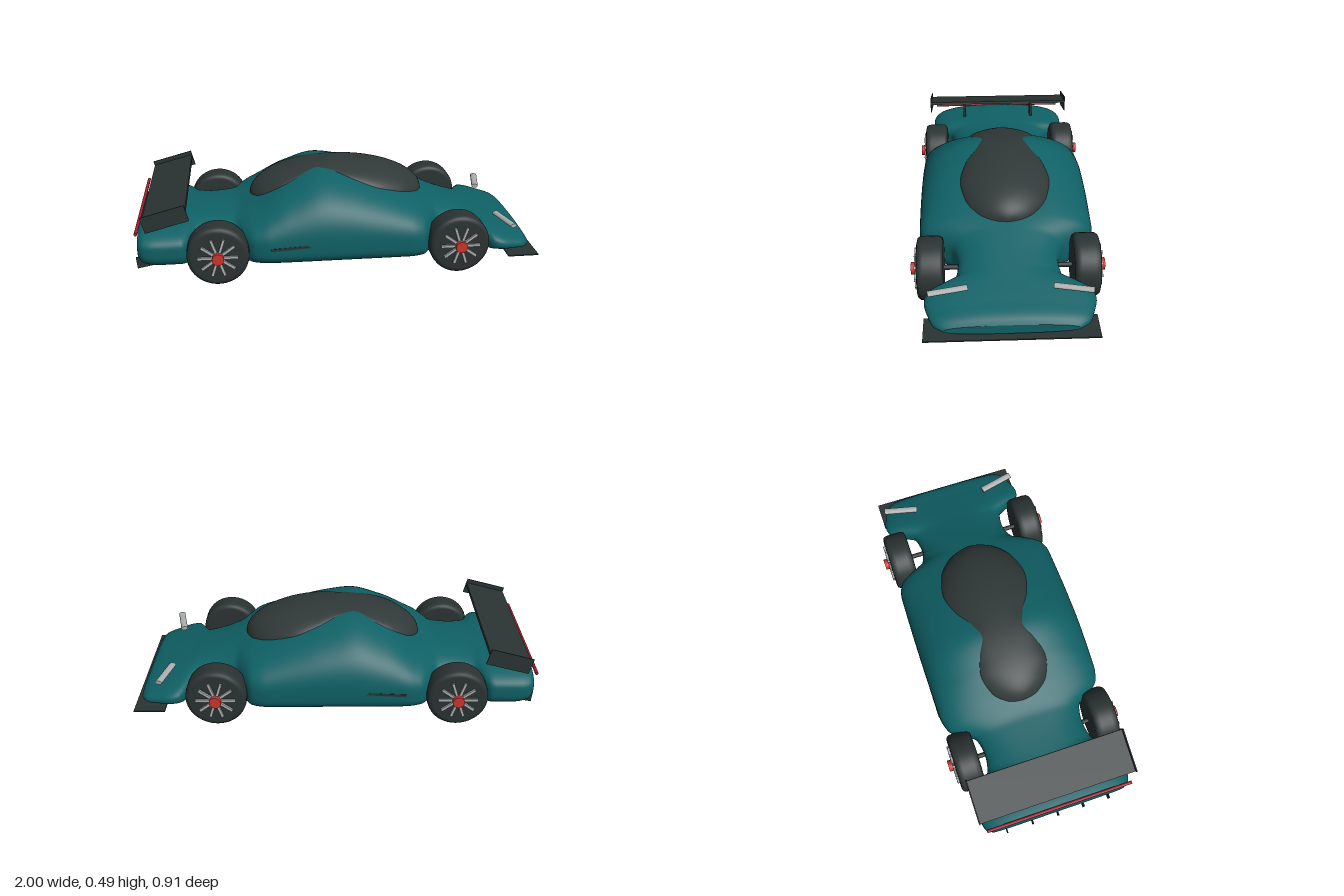
import * as THREE from 'three';

const mat = (name, color, side = THREE.FrontSide) => {
  const m = new THREE.MeshStandardMaterial({ color, side });
  m.name = name;
  return m;
};

// Smooth interpolation through [x, value] pairs without overshoot
function curve(pts) {
  const slope = i => (pts[i + 1][1] - pts[i][1]) / (pts[i + 1][0] - pts[i][0]);
  const tan = pts.map((p, i) => {
    if (i === 0) return slope(0);
    if (i === pts.length - 1) return slope(i - 1);
    const a = slope(i - 1), b = slope(i);
    return a * b <= 0 ? 0 : 2 * a * b / (a + b);
  });
  return x => {
    let i = 0;
    while (i < pts.length - 2 && x > pts[i + 1][0]) i++;
    const d = pts[i + 1][0] - pts[i][0];
    const t = Math.min(1, Math.max(0, (x - pts[i][0]) / d)), t2 = t * t, t3 = t2 * t;
    return (2 * t3 - 3 * t2 + 1) * pts[i][1] + (t3 - 2 * t2 + t) * d * tan[i]
      + (3 * t2 - 2 * t3) * pts[i + 1][1] + (t3 - t2) * d * tan[i + 1];
  };
}

// Body profiles along its length
const top = curve([[-0.98, 0.25], [-0.965, 0.27], [-0.9, 0.276], [-0.7, 0.275], [-0.52, 0.285], [-0.42, 0.322],
  [-0.25, 0.422], [-0.08, 0.476], [0.05, 0.455], [0.2, 0.41], [0.45, 0.32], [0.6, 0.262], [0.74, 0.212],
  [0.87, 0.17], [0.95, 0.142], [0.97, 0.115]]);
const bottom = curve([[-0.98, 0.1], [-0.96, 0.078], [-0.88, 0.062], [0, 0.058], [0.9, 0.06], [0.97, 0.07]]);
const width = curve([[-0.98, 0.345], [-0.96, 0.375], [-0.9, 0.388], [-0.77, 0.385], [-0.735, 0.35], [-0.7, 0.28],
  [-0.6, 0.262], [-0.51, 0.28], [-0.47, 0.35], [-0.42, 0.405], [-0.34, 0.424], [0, 0.428], [0.34, 0.424],
  [0.41, 0.405], [0.455, 0.34], [0.5, 0.262], [0.6, 0.235], [0.69, 0.25], [0.73, 0.32], [0.77, 0.38],
  [0.81, 0.388], [0.88, 0.37], [0.94, 0.345], [0.97, 0.3]]);
const waist = curve([[-0.98, 0.18], [-0.4, 0.18], [0, 0.19], [0.4, 0.18], [0.75, 0.13], [0.97, 0.09]]);
const lowPower = curve([[-0.98, 4], [0.5, 4.5], [0.8, 2.8], [0.97, 2.5]]);
const POWER = 2.4;
const bodyY = (x, z) => waist(x) + (top(x) - waist(x))
  * Math.pow(Math.max(0, 1 - Math.pow(Math.abs(z) / width(x), POWER)), 1 / POWER);

function geometry(pos, index) {
  const g = new THREE.BufferGeometry();
  g.setAttribute('position', new THREE.Float32BufferAttribute(pos, 3));
  g.setIndex(index);
  g.computeVertexNormals();
  return g;
}

// Rounded cross-sections lofted from tail to nose, closed at both ends
function bodyGeometry() {
  const N = 130, M = 72, pos = [], idx = [];
  const ring = x => {
    for (let j = 0; j < M; j++) {
      const a = j / M * Math.PI * 2, c = Math.cos(a), s = Math.sin(a);
      const p = 2 / (s >= 0 ? POWER : lowPower(x));
      const h = s >= 0 ? top(x) - waist(x) : waist(x) - bottom(x);
      pos.push(x, waist(x) + h * Math.sign(s) * Math.abs(s) ** p, width(x) * Math.sign(c) * Math.abs(c) ** p);
    }
  };
  for (let i = 0; i <= N; i++) ring(-0.98 + 1.95 * i / N);
  for (let i = 0; i < N; i++) for (let j = 0; j < M; j++) {
    const k = (j + 1) % M, a = i * M + j, b = i * M + k;
    idx.push(a, a + M, b, b, a + M, b + M);
  }
  for (const [x, front] of [[-0.98, false], [0.97, true]]) {
    const s = pos.length / 3;
    ring(x);
    pos.push(x, waist(x), 0);
    for (let j = 0; j < M; j++) {
      const a = s + j, b = s + (j + 1) % M;
      idx.push(s + M, front ? b : a, front ? a : b);
    }
  }
  return geometry(pos, idx);
}

// Domed canopy with a waisted outline resting on the body
function canopyGeometry() {
  const half = curve([[-0.43, 0], [-0.425, 0.045], [-0.41, 0.084], [-0.36, 0.142], [-0.27, 0.171], [-0.18, 0.147],
    [-0.1, 0.113], [-0.02, 0.135], [0.08, 0.192], [0.2, 0.221], [0.32, 0.196], [0.41, 0.133], [0.445, 0.075],
    [0.456, 0.035], [0.46, 0]]);
  const N = 72, M = 32, pos = [], idx = [];
  for (let i = 0; i <= N; i++) {
    const u = -Math.cos(Math.PI * i / N), x = 0.015 + 0.445 * u, h = half(x);
    const edge = bodyY(x, h) - 0.002;
    const crown = Math.max(0.315 + 0.17 * Math.sqrt(Math.max(0, 1 - u * u)), bodyY(x, 0) + 0.003);
    for (let j = 0; j <= M; j++) {
      const t = -Math.cos(Math.PI * j / M);
      pos.push(x, edge + (crown - edge) * Math.pow(Math.max(0, 1 - t * t), 0.7), t * h);
    }
  }
  for (let i = 0; i < N; i++) for (let j = 0; j < M; j++) {
    const a = i * (M + 1) + j, b = a + M + 1;
    idx.push(a, a + 1, b, b, a + 1, b + 1);
  }
  return geometry(pos, idx);
}

export function createModel() {
  const car = new THREE.Group();
  car.name = 'raceCar';
  const teal = mat('teal paint', 0x0f6166);
  const glass = mat('dark canopy', 0x303838, THREE.DoubleSide);
  const black = mat('black trim', 0x2b3333, THREE.DoubleSide);
  const silver = mat('silver', 0xaeb1b1);
  const red = mat('hub red', 0xcc352d);
  const lamp = mat('tail lamp red', 0xa51c2c);
  const add = (parent, name, geo, m, x = 0, y = 0, z = 0) => {
    const mesh = new THREE.Mesh(geo, m);
    mesh.name = name;
    mesh.position.set(x, y, z);
    parent.add(mesh);
    return mesh;
  };
  const box = (a, b, c) => new THREE.BoxGeometry(a, b, c);
  const rod = (r, l, n = 20) => new THREE.CylinderGeometry(r, r, l, n).rotateX(Math.PI / 2);

  add(car, 'body', bodyGeometry(), teal);
  add(car, 'canopy', canopyGeometry(), glass);

  // Wheels: rounded tyre, ten spokes and a red hub, outer face towards +z
  const tyre = new THREE.LatheGeometry([[0, -0.062], [0.125, -0.062], [0.14, -0.058], [0.148, -0.047], [0.15, -0.03],
    [0.15, 0.03], [0.148, 0.047], [0.14, 0.058], [0.125, 0.062], [0, 0.062]]
    .map(p => new THREE.Vector2(...p)), 48).rotateX(Math.PI / 2);
  for (const x of [0.583, -0.597]) for (const s of [1, -1]) {
    const wheel = new THREE.Group();
    wheel.name = (x > 0 ? 'front' : 'rear') + (s > 0 ? 'Right' : 'Left') + 'Wheel';
    wheel.position.set(x, 0.15, 0.363 * s);
    if (s < 0) wheel.rotation.y = Math.PI;
    add(wheel, 'tyre', tyre, black);
    for (let i = 0; i < 10; i++) {
      const a = (i + 0.5) / 10 * Math.PI * 2;
      const spoke = add(wheel, 'spoke', box(0.013, 0.075, 0.014), silver, -Math.sin(a) * 0.06, Math.cos(a) * 0.06, 0.066);
      spoke.rotation.z = a;
    }
    add(wheel, 'hub', rod(0.029, 0.032), red, 0, 0, 0.076);
    add(wheel, 'axle', rod(0.012, 0.14), black, 0, 0, -0.11);
    car.add(wheel);
  }

  // Front splitter
  add(car, 'splitter', box(0.155, 0.006, 0.78), black, 0.9225, 0.059, 0);

  // Rear wing, tilted up towards the front
  const wing = new THREE.Group();
  wing.name = 'rearWing';
  wing.position.set(-0.836, 0.347, 0);
  wing.rotation.z = 0.26;
  add(wing, 'wingPlate', box(0.212, 0.014, 0.79), black, 0, 0.012, 0);
  for (const s of [1, -1]) add(wing, 'endPlate', box(0.215, 0.082, 0.005), black, 0, 0, 0.397 * s);
  car.add(wing);

  for (const s of [1, -1]) {
    add(car, 'wingSupport', box(0.06, 0.09, 0.014), black, -0.83, 0.308, 0.2 * s);
    // Slim lamp bars above the nose
    const bar = add(car, 'headlampBar', rod(0.012, 0.18, 10), silver, 0.845, 0.214, 0.28 * s);
    bar.scale.x = 1.5;
    bar.scale.y = 0.9;
    bar.rotation.y = 0.23 * s;
    // Side vent slots
    add(car, 'sideVent', box(0.22, 0.013, 0.012), black, -0.235, 0.178, 0.421 * s).rotation.z = 0.06;
  }

  // Tail lamp strip
  add(car, 'tailLamp', rod(0.008, 0.745, 12), lamp, -0.978, 0.265, 0);

  // Diffuser fins under the tail
  const fin = new THREE.Shape([[-1, 0.1], [-0.995, 0.04], [-0.89, 0.06], [-0.9, 0.1]].map(p => new THREE.Vector2(...p)));
  const finGeo = new THREE.ExtrudeGeometry(fin, { depth: 0.005, bevelEnabled: false });
  for (let i = -2; i <= 2; i++) add(car, 'diffuserFin', finGeo, black, 0, 0, i * 0.136 - 0.0025);

  return car;
}
